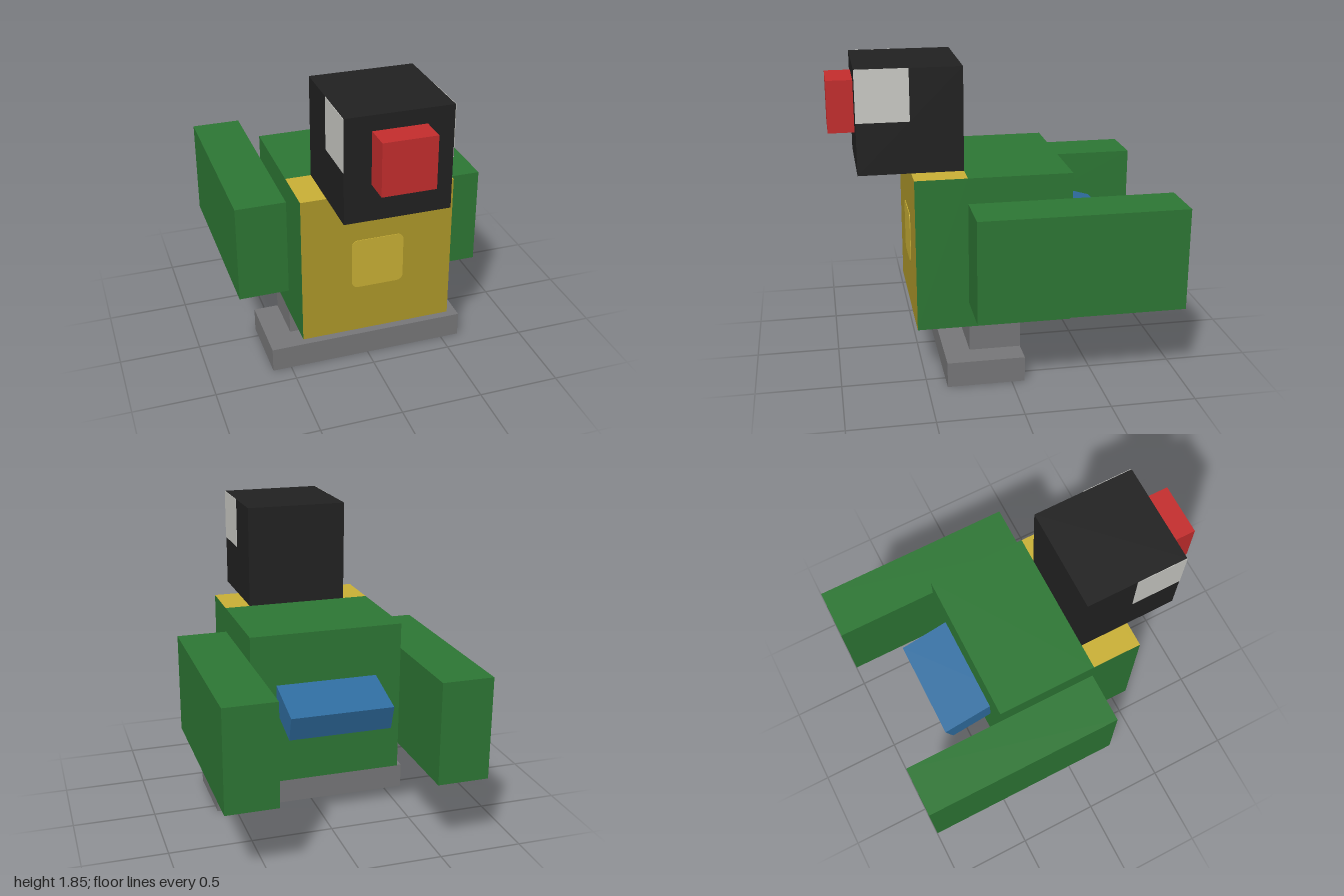
import * as THREE from 'three';

const U = 2 / 13; // size of one block unit

function material(name, color) {
  const m = new THREE.MeshStandardMaterial({ color });
  m.name = name;
  return m;
}

// Box given by its lower and upper corners, in block units
function block(name, mat, [x0, y0, z0], [x1, y1, z1]) {
  const mesh = new THREE.Mesh(
    new THREE.BoxGeometry((x1 - x0) * U, (y1 - y0) * U, (z1 - z0) * U), mat);
  mesh.position.set((x0 + x1) / 2 * U, (y0 + y1) / 2 * U, (z0 + z1) / 2 * U);
  mesh.name = name;
  return mesh;
}

function roundedSquare(half, r) {
  const s = new THREE.Shape();
  const k = half - r;
  s.absarc(k, k, r, 0, Math.PI / 2);
  s.absarc(-k, k, r, Math.PI / 2, Math.PI);
  s.absarc(-k, -k, r, Math.PI, Math.PI * 1.5);
  s.absarc(k, -k, r, Math.PI * 1.5, Math.PI * 2);
  s.closePath();
  return s;
}

export function createModel() {
  const model = new THREE.Group();
  model.name = 'blockBird';

  const green = material('green', 0x2e7835);
  const black = material('black', 0x222222);
  const red = material('red', 0xc62e2e);
  const yellow = material('yellow', 0xccb236);
  const ochre = material('ochre', 0xb09a2b);
  const blue = material('blue', 0x2f6da0);
  const grey = material('grey', 0x78787a);
  const white = material('white', 0xcdcdc8);

  // Body: green back, front block with yellow top and ochre chest
  model.add(block('bodyBack', green, [-3, 2, -2.5], [3, 8, 1.5]));
  model.add(block('bodyFront', [green, green, yellow, green, ochre, green],
    [-3, 2, 1.5], [3, 8, 3.5]));

  // Rounded chest patch
  const patch = new THREE.Mesh(new THREE.ExtrudeGeometry(
    roundedSquare(1.03 * U, 0.25 * U),
    { depth: 0.004, bevelEnabled: false, curveSegments: 5 }), yellow);
  patch.position.set(0, 5 * U, 3.5 * U);
  patch.name = 'chestPatch';
  model.add(patch);

  // Head and beak
  model.add(block('head', black, [-2, 8, 1.5], [2, 12, 5.5]));
  model.add(block('beak', red, [-1, 9.42, 5.5], [1, 11.42, 6.5]));

  // Mirrored parts
  for (const [side, s] of [['left', 1], ['right', -1]]) {
    const pair = (name, mat, [a, y0, z0], [b, y1, z1]) => model.add(block(side + name, mat,
      [Math.min(s * a, s * b), y0, z0], [Math.max(s * a, s * b), y1, z1]));
    pair('Wing', green, [3, 3, -6.5], [5, 7, 1.5]);
    pair('Leg', grey, [1, 1, -0.5], [3, 2, 1.5]);
    pair('Eye', white, [2, 10, 3.5], [2.02, 12, 5.5]);
  }

  // Feet slab
  model.add(block('feet', grey, [-4, 0, -0.5], [4, 1, 2.5]));

  // Drooping tail
  const tail = block('tail', blue, [-2, 4.864, -4.41], [2, 5.864, -1.41]);
  tail.rotation.x = -0.28;
  model.add(tail);

  return model;
}
